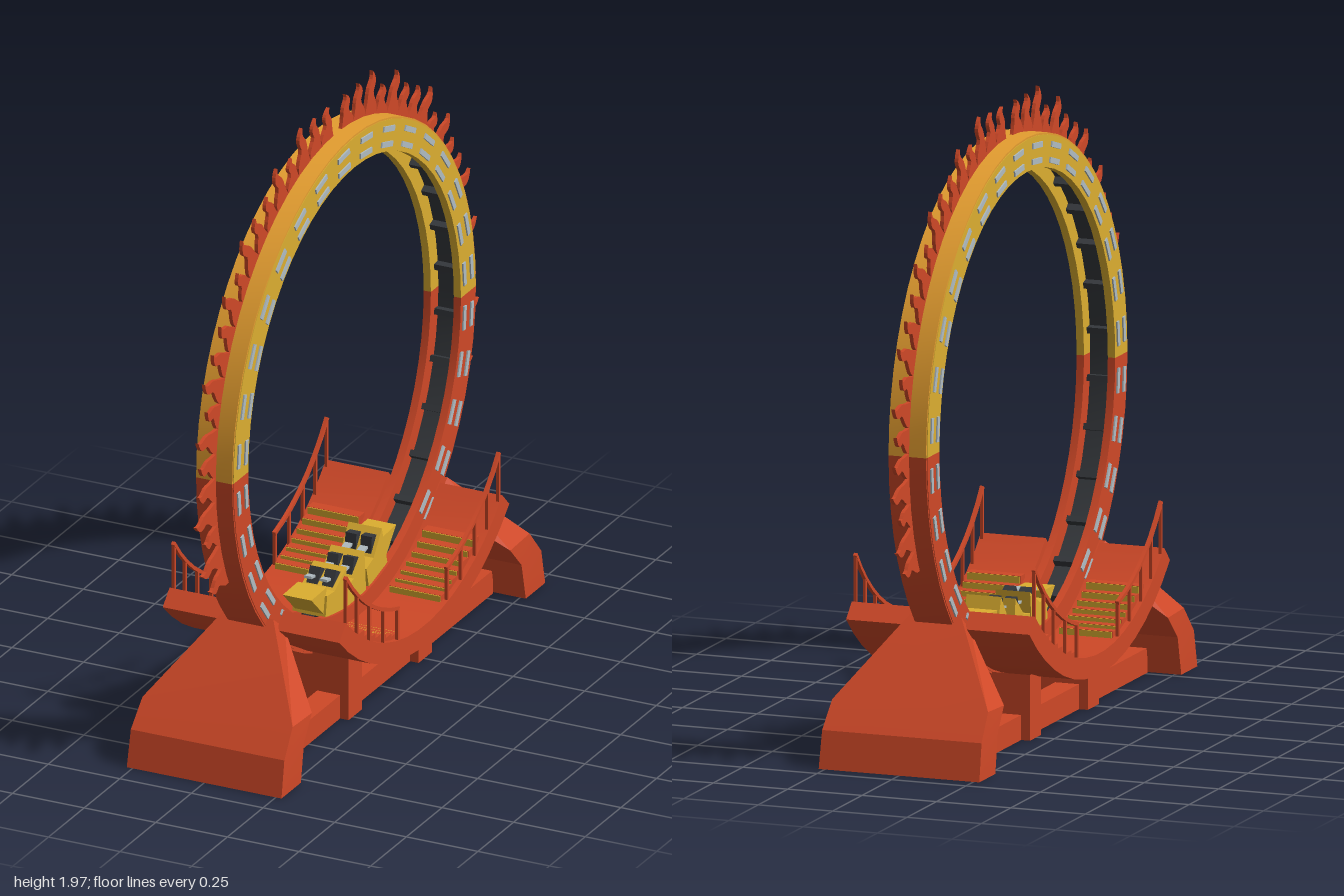
import * as THREE from 'three';
import { mergeGeometries, toCreasedNormals } from 'three/addons/utils/BufferGeometryUtils.js';

const mat = (name, color, side = THREE.FrontSide) => {
  const m = new THREE.MeshStandardMaterial({ color, side });
  m.name = name;
  return m;
};
const RAD = Math.PI / 180;
const CY = 1.005; // height of the loop's centre

export function createModel() {
  const red = mat('red', 0xcf4827, THREE.DoubleSide);
  const gold = mat('gold', 0xdcae30);
  const orange = mat('orange', 0xe59e30);
  const silver = mat('silver', 0xb0bcc2);
  const dark = mat('charcoal', 0x34373b);

  const model = new THREE.Group();
  model.name = 'loopCoaster';
  model.position.z = -0.013;

  const add = (name, geo, material, parent = model) => {
    const mesh = new THREE.Mesh(Array.isArray(geo) ? mergeGeometries(geo) : geo, material);
    mesh.name = name;
    parent.add(mesh);
    return mesh;
  };
  const box = (x0, x1, y0, y1, z0, z1) =>
    new THREE.BoxGeometry(x1 - x0, y1 - y0, z1 - z0)
      .translate((x0 + x1) / 2, (y0 + y1) / 2, (z0 + z1) / 2);
  const both = (x0, x1, f) => [f(x0, x1), f(-x1, -x0)];
  // extrudes a (z, y) outline between two x positions
  const slab = (shape, x0, x1) => toCreasedNormals(
    new THREE.ExtrudeGeometry(shape, { depth: x1 - x0, bevelEnabled: false, curveSegments: 6 })
      .rotateY(-Math.PI / 2).translate(x1, 0, 0), 0.4);
  const outline = pts => new THREE.Shape(pts.map(p => new THREE.Vector2(...p)));
  // ring sector around the loop's centre; angles in degrees from the bottom towards +z
  const sector = (x0, x1, r0, r1, a0, a1) => {
    const n = Math.ceil((a1 - a0) / 6), pts = [];
    const at = (r, i) => {
      const a = (a0 + (a1 - a0) * i / n) * RAD;
      return [r * Math.sin(a), CY - r * Math.cos(a)];
    };
    for (let i = 0; i <= n; i++) pts.push(at(r1, i));
    for (let i = n; i >= 0; i--) pts.push(at(r0, i));
    return slab(outline(pts), x0, x1);
  };
  // moves a geometry modelled at the bottom of the loop to another angle
  const place = (geo, deg) => geo.rotateX(-deg * RAD).translate(0, CY, 0);

  // Loop: a channel open towards the centre, gold above and red below
  for (const [label, a0, a1, wall, skin] of [['lower', -90, 90, red, red], ['upper', 90, 270, gold, orange]]) {
    add(label + 'LoopWalls', both(0.04, 0.065, (a, b) => sector(a, b, 0.745, 0.848, a0, a1)), wall);
    add(label + 'LoopSkin', [sector(-0.063, 0.063, 0.848, 0.854, a0, a1)], skin);
    add(label + 'LoopWeb', sector(-0.04, 0.04, 0.805, 0.848, a0, a1), wall);
  }
  add('trackBed', sector(-0.04, 0.04, 0.798, 0.805, 0, 360), dark);
  const ties = [], lamps = [];
  for (let i = 0; i < 32; i++) {
    const deg = i * 11.25 + 5.6;
    ties.push(place(box(-0.042, 0.042, -0.8, -0.772, -0.01, 0.01), deg));
    if (deg < 38 || deg > 322) continue;
    for (const r of [0.768, 0.818])
      lamps.push(...both(0.064, 0.07, (a, b) => place(box(a, b, -r - 0.009, -r + 0.009, -0.04, 0.04), deg)));
  }
  add('trackTies', ties, dark);
  add('sideLamps', lamps, silver);

  // Flames: a curling tongue repeated in varied sizes and mirrored at the top
  const flame = (w, h) => {
    const s = new THREE.Shape();
    s.moveTo(-w, 0);
    s.bezierCurveTo(-w * 0.9, h * 0.45, w * 0.5, h * 0.4, -w * 0.1, h * 0.68);
    s.quadraticCurveTo(-w * 0.3, h * 0.85, w * 0.65, h);
    s.bezierCurveTo(w * 0.2, h * 0.8, w * 0.95, h * 0.75, w * 0.95, h * 0.5);
    s.quadraticCurveTo(w * 0.9, h * 0.25, w * 1.15, 0);
    s.closePath();
    return new THREE.ExtrudeGeometry(s, { depth: 0.012, bevelEnabled: false, curveSegments: 5 })
      .rotateY(-Math.PI / 2).translate(0.006, 0, 0);
  };
  const heights = [0.115, 0.145, 0.1, 0.15, 0.125];
  const flames = [];
  for (let i = 0; i < 21; i++) {
    const deg = 66 + i * 5.45;
    for (const side of [1, -1]) {
      const g = flame(0.041, heights[i % 5]).translate(0, 0.846, 0);
      if (side > 0) g.scale(-1, 1, -1); // lean towards the top on this side
      flames.push(g.rotateX(side * (180 - deg) * RAD).translate(0, CY, 0));
    }
  }
  add('flames', flames, red);

  // Boarding platforms curved under the loop
  add('platforms', both(0.09, 0.308, (a, b) => sector(a, b, 0.775, 0.843, -45, 45)), red);
  add('platformBridge', both(0.06, 0.095, (a, b) => sector(a, b, 0.815, 0.84, -44, 44)), red);
  const deck = z => CY - Math.sqrt(0.775 ** 2 - z * z);
  const treads = [], risers = [];
  for (let i = 0; i < 7; i++) {
    const z = 0.155 + i * 0.038, z1 = z + 0.038, top = deck(z1) + 0.012;
    for (const s of [1, -1]) {
      const span = (p, q) => (s > 0 ? [p, q] : [-q, -p]);
      treads.push(...both(0.11, 0.29, (a, b) => box(a, b, deck(z) - 0.02, top, ...span(z, z1))));
      risers.push(...both(0.112, 0.288, (a, b) => box(a, b, deck(z) - 0.01, top - 0.001, ...span(z - 0.004, z))));
    }
  }
  add('stairTreads', treads, red);
  add('stairRisers', risers, gold);

  // Handrails on the outer edges
  const rails = [];
  for (const s of [1, -1]) {
    const a0 = s > 0 ? 14.5 : -53.5;
    rails.push(...both(0.294, 0.306, (a, b) => sector(a, b, 0.664, 0.676, a0, a0 + 39)));
    for (const deg of [15, 24, 33.5, 43, 53]) {
      const z = s * 0.67 * Math.sin(deg * RAD), y = CY - 0.67 * Math.cos(deg * RAD);
      rails.push(...both(0.295, 0.305, (a, b) =>
        toCreasedNormals(box(a, b, deck(z) - 0.02, y, z - 0.005, z + 0.005), 0.4)));
    }
  }
  add('handrails', rails, red);

  // End legs: bent tapering shells, open below; stations are [half width, outer z, y, inner z, y]
  const stations = [
    [0.27, 0.924, 0, 0.788, 0], [0.268, 0.9, 0.12, 0.762, 0.125],
    [0.262, 0.83, 0.205, 0.695, 0.2], [0.085, 0.61, 0.45, 0.53, 0.39],
  ];
  const leg = () => {
    const pos = [], index = [];
    for (const [w, zo, yo, zi, yi] of stations) pos.push(w, yo, zo, -w, yo, zo, -w, yi, zi, w, yi, zi);
    for (let k = 0; k < 3; k++)
      for (let j = 0; j < 4; j++) {
        const a = k * 4 + j, b = k * 4 + (j + 1) % 4;
        index.push(a, a + 4, b, b, a + 4, b + 4);
      }
    index.push(12, 15, 14, 12, 14, 13);
    const g = new THREE.BufferGeometry();
    g.setAttribute('position', new THREE.Float32BufferAttribute(pos, 3));
    g.setIndex(index);
    return toCreasedNormals(g, 0.2);
  };
  add('frontLeg', leg(), red);
  add('backLeg', leg().rotateY(Math.PI), red);

  // Middle posts (open below) and ground beams
  const posts = [];
  for (const z of [0.245, -0.245])
    posts.push(new THREE.CylinderGeometry(Math.SQRT1_2, Math.SQRT1_2, 1, 4, 1, true)
      .rotateY(Math.PI / 4).toNonIndexed().scale(0.38, 0.21, 0.095).translate(0, 0.105, z));
  posts.forEach(g => g.computeVertexNormals());
  add('middlePosts', posts, red);
  add('groundBeams', both(0.08, 0.16, (a, b) => box(a, b, 0, 0.08, -0.78, 0.78)), red);

  // Train of three cars with a pointed nose and tail
  const R = -0.748;
  const body = [[0.068, 0.005], [0.068, 0.075], [0.015, 0.08], [-0.06, 0.142], [-0.066, 0.005]];
  const nose = [[0.06, 0.01], [0.165, 0.08], [0.06, 0.1]];
  const part = (pts, w, flip = 1) => {
    const p = pts.map(([z, h]) => [z * flip, h + R]);
    return slab(outline(flip > 0 ? p : p.reverse()), -w, w);
  };
  [9.5, -2.2, -14].forEach((deg, i) => {
    const car = new THREE.Group();
    car.name = 'car' + (i + 1);
    car.position.y = CY;
    car.rotation.x = -deg * RAD;
    model.add(car);
    const geos = [part(body, 0.058)];
    if (i === 0) geos.push(part(nose, 0.05));
    if (i === 2) geos.push(part(nose, 0.05, -1));
    add('carBody', geos, gold, car);
    const seat = (a, b) => box(a, b, 0, 0.055, -0.016, 0.016).rotateX(-0.35).translate(0, R + 0.082, -0.008);
    add('seats', both(0.008, 0.046, seat), dark, car);
    const bar = (a, b) => box(a, b, 0, 0.008, 0, 0.03).translate(0, R + 0.11, 0.01);
    add('lapBars', both(0.014, 0.04, bar), silver, car);
    add('wheels', both(0.03, 0.038, (a, b) => box(a, b, R - 0.045, R + 0.01, -0.04, 0.04)), dark, car);
  });

  const root = new THREE.Group();
  root.name = 'loopRide';
  root.add(model);
  return root;
}
